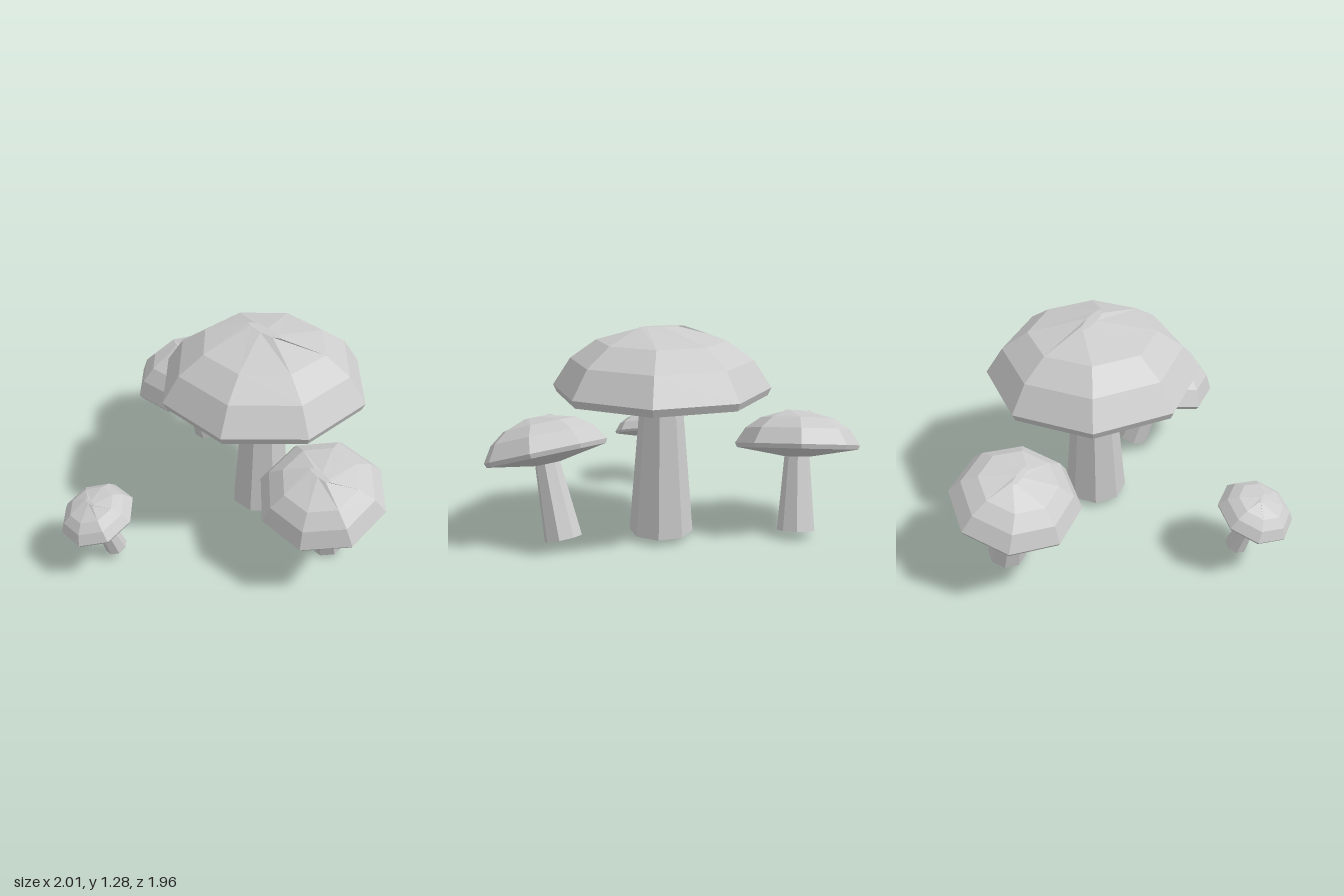
import * as THREE from 'three';

const material = new THREE.MeshStandardMaterial({ color: 0xcccccc, flatShading: true, side: THREE.DoubleSide });
const SIDES = 8;
const CROWN = 1.24;

// Faceted cap: underside, narrow rim, dome, and a crown squeezed into a short slanted ridge
function capGeometry() {
  const profile = [
    [0.12, 0.76], [0.62, 0.845], [0.64, 0.89], [0.535, 1.05], [0.38, 1.16], [0.13, CROWN], [0, CROWN],
  ].map(([r, y]) => new THREE.Vector2(r, y));
  const geometry = new THREE.LatheGeometry(profile, SIDES);
  const p = geometry.attributes.position;
  const slant = 0.42;
  for (let i = 0; i < p.count; i++) {
    if (p.getY(i) < CROWN - 0.01) continue;
    const along = p.getX(i), across = p.getZ(i) * 0.25;
    p.setX(i, along * Math.cos(slant) - across * Math.sin(slant));
    p.setZ(i, along * Math.sin(slant) + across * Math.cos(slant));
  }
  const flat = geometry.toNonIndexed();
  flat.computeVertexNormals();
  return flat;
}

// Tapered stem, open at both ends, standing on its own base
function stemGeometry() {
  const flat = new THREE.CylinderGeometry(0.128, 0.192, 0.77, SIDES, 1, true).toNonIndexed();
  flat.translate(0, 0.385, 0);
  flat.computeVertexNormals();
  return flat;
}

export function createModel() {
  const model = new THREE.Group();
  model.name = 'mushroomCluster';
  const cap = capGeometry();
  const stem = stemGeometry();

  // Base position, scale, and lean about x and z in degrees
  const mushrooms = [
    { name: 'largeMushroom', at: [0.08, 0.04, -0.17], scale: 1, lean: [0, 0] },
    { name: 'leftMushroom', at: [0.62, 0.04, 0.09], scale: 0.594, lean: [18.5, 0] },
    { name: 'backMushroom', at: [-0.54, 0.035, -0.705], scale: 0.59, lean: [10.7, 10.7] },
    { name: 'smallMushroom', at: [-0.54, 0.075, 0.675], scale: 0.357, lean: [15.5, 9] },
  ];
  for (const { name, at, scale, lean } of mushrooms) {
    const group = new THREE.Group();
    group.name = name;
    for (const [part, geometry] of [['cap', cap], ['stem', stem]]) {
      const mesh = new THREE.Mesh(geometry, material);
      mesh.name = part;
      group.add(mesh);
    }
    group.position.set(...at);
    group.scale.setScalar(scale);
    group.rotation.set(THREE.MathUtils.degToRad(lean[0]), 0, THREE.MathUtils.degToRad(lean[1]));
    model.add(group);
  }
  return model;
}
